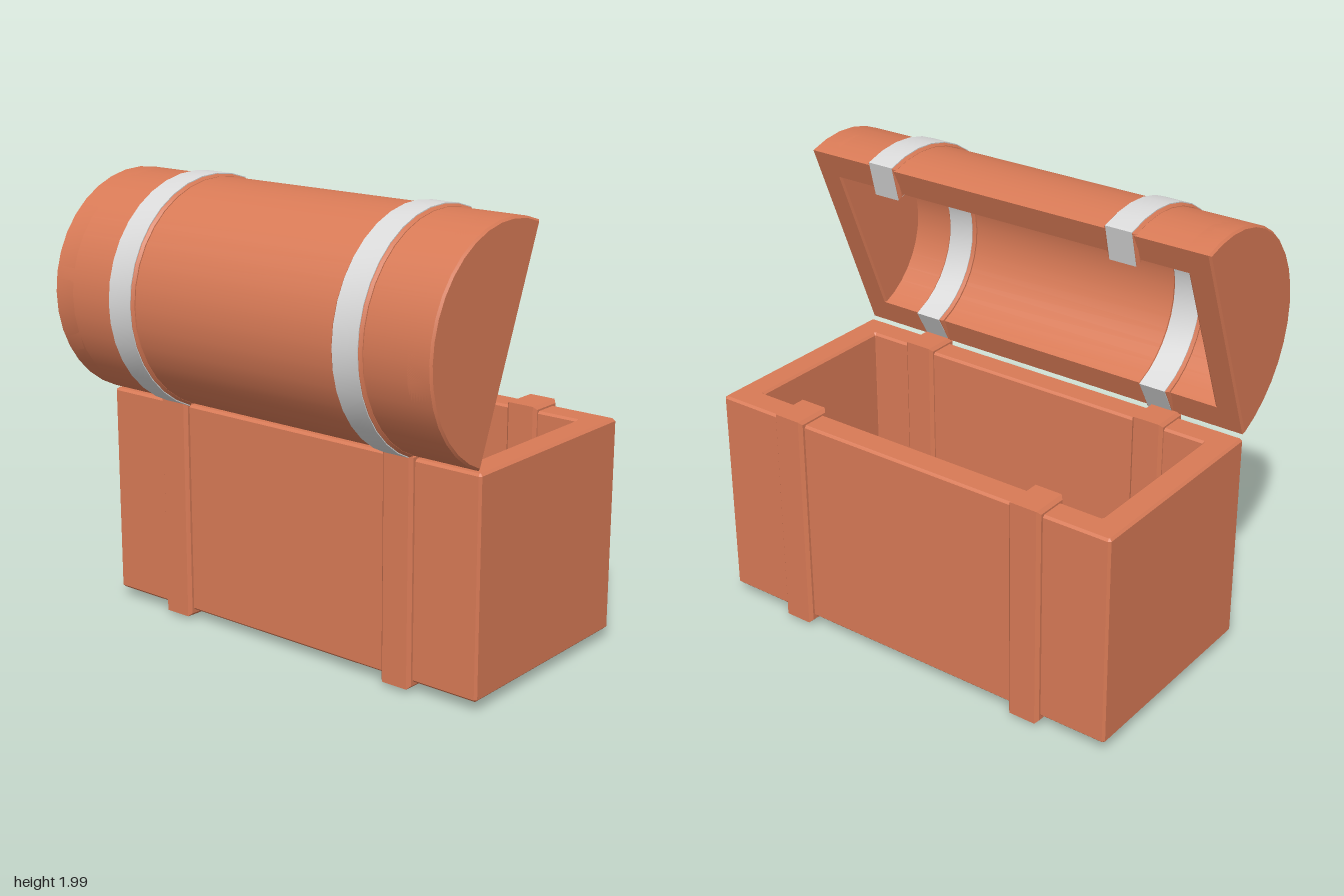
import * as THREE from 'three';
import { toCreasedNormals } from 'three/addons/utils/BufferGeometryUtils.js';

const wood = new THREE.MeshStandardMaterial({ color: 0xd87a56 });
wood.name = 'terracotta wood';
const steel = new THREE.MeshStandardMaterial({ color: 0xdadada });
steel.name = 'pale steel';

// Extrudes an outline, centred on its depth, with a small bevel inside the outline
function extrude(shape, width, bevel) {
  const depth = width - 2 * bevel;
  const geo = new THREE.ExtrudeGeometry(shape, {
    depth, steps: 1, bevelEnabled: bevel > 0, bevelSegments: 1,
    bevelSize: bevel, bevelThickness: bevel, bevelOffset: -bevel,
  });
  geo.translate(0, 0, -depth / 2);
  return toCreasedNormals(geo, 0.5);
}

// Cross-section given as [z, y] points, extruded along x
function crossPart(name, points, x, width, bevel, material) {
  const shape = new THREE.Shape(points.map(([z, y]) => new THREE.Vector2(z, y)));
  const geo = extrude(shape, width, bevel).rotateY(-Math.PI / 2);
  const mesh = new THREE.Mesh(geo, material);
  mesh.name = name;
  mesh.position.x = x;
  return mesh;
}

// Open lid: u points out of the dome, v runs along the rim from hinge to tip
const TILT = Math.atan2(0.37, 0.93);
function lidPoint(u, v) {
  const c = Math.cos(TILT), s = Math.sin(TILT);
  return [0.155 + u * c - v * s, 1.476 + u * s + v * c];
}
function dome(ru, rv) {
  const pts = [];
  for (let i = 0; i <= 18; i++) {
    const a = -Math.PI / 2 + (Math.PI * i) / 18;
    pts.push(lidPoint(ru * Math.cos(a), rv * Math.sin(a)));
  }
  return pts;
}
// Half ring; "lift" raises the inner edge of the rim
function domeRing(outer, inner, lift) {
  const innerArc = dome(...inner).reverse();
  if (!lift) return [...dome(...outer), ...innerArc];
  return [...dome(...outer), lidPoint(-lift, inner[1]), ...innerArc.slice(1, -1),
    lidPoint(-lift, -inner[1])];
}

// Rectangle with clipped corners
function clippedRect(target, x0, x1, y0, y1, c) {
  target.moveTo(x0 + c, y0);
  [[x1 - c, y0], [x1, y0 + c], [x1, y1 - c], [x1 - c, y1],
    [x0 + c, y1], [x0, y1 - c], [x0, y0 + c]].forEach(([x, y]) => target.lineTo(x, y));
  target.closePath();
  return target;
}

export function createModel() {
  const model = new THREE.Group();
  model.name = 'chest';

  // Base: four walls around a cavity, and a floor
  const base = new THREE.Group();
  base.name = 'base';
  const plan = clippedRect(new THREE.Shape(), -1, 1, -0.335, 0.665, 0.01);
  plan.holes.push(clippedRect(new THREE.Path(), -0.88, 0.88, -0.21, 0.54, 0.002));
  const walls = new THREE.Mesh(extrude(plan, 0.955, 0.01).rotateX(-Math.PI / 2), wood);
  walls.name = 'baseWalls';
  walls.position.y = 0.045 + 0.955 / 2;
  const floor = new THREE.Mesh(new THREE.BoxGeometry(1.8, 0.12, 0.8), wood);
  floor.name = 'baseFloor';
  floor.position.set(0, 0.106, -0.165);
  base.add(walls, floor);

  // Straps wrapping the base inside and out
  const strap = [[-0.69, 0.018], [-0.165, 0], [0.36, 0.018], [0.36, 1.022], [0.19, 1.022],
    [0.19, 0.185], [-0.52, 0.185], [-0.52, 1.022], [-0.69, 1.022]];
  for (const x of [-0.615, 0.61]) base.add(crossPart('baseStrap', strap, x, 0.152, 0.014, wood));

  // Lid: hollow half barrel with solid ends
  const lid = new THREE.Group();
  lid.name = 'lid';
  const outer = [0.515, 0.497];
  lid.add(crossPart('lidShell', domeRing(outer, [0.39, 0.375], 0), 0, 1.975, 0, wood));
  for (const s of [-1, 1]) {
    lid.add(crossPart('lidEnd', dome(...outer), s * 0.94, 0.12, 0.009, wood));
  }

  // Lid straps: wooden band with a steel strip around it
  const band = domeRing([0.53, 0.508], [0.372, 0.357], 0.018);
  const strip = domeRing([0.534, 0.512], [0.368, 0.353], 0.022);
  for (const x of [-0.59, 0.61]) {
    lid.add(crossPart('lidStrap', band, x, 0.15, 0.01, wood));
    lid.add(crossPart('lidStrapStrip', strip, x, 0.124, 0, steel));
  }

  model.add(base, lid);
  return model;
}
